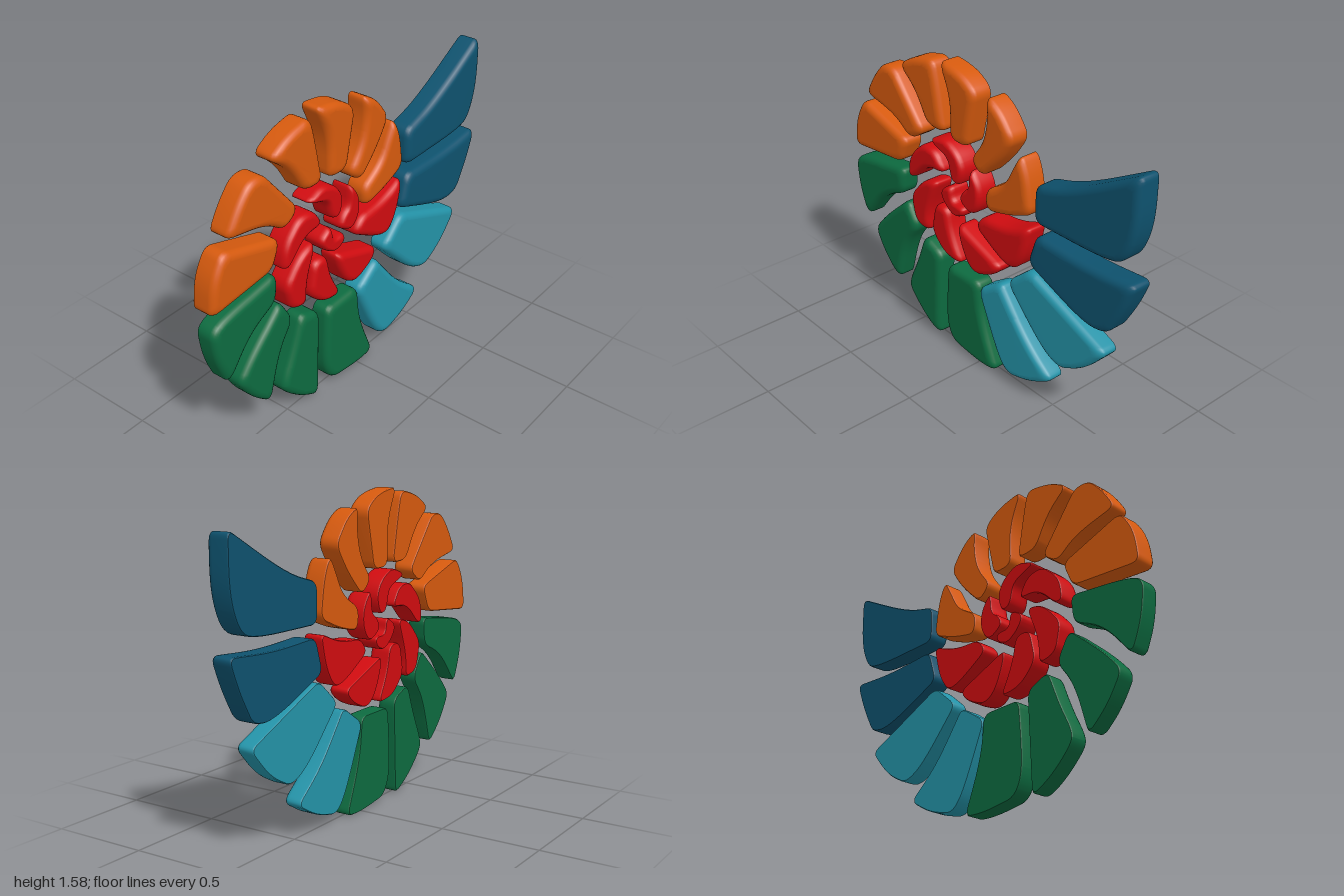
import * as THREE from 'three';

// Material colour, back depth and corner outlines [x, y] of each ring of segments
const SEGMENTS = {
  orangeSegment: { color: 0xd65a0e, back: -0.058, outlines: [
    [[-1.005, .88], [-.985, 1.05], [-.91, 1.17], [-.55, 1.06], [-.61, .92]],
    [[-.885, 1.215], [-.81, 1.34], [-.73, 1.425], [-.64, 1.425], [-.42, 1.155], [-.52, 1.085], [-.64, 1.17]],
    [[-.595, 1.465], [-.48, 1.535], [-.33, 1.565], [-.30, 1.45], [-.255, 1.21], [-.38, 1.215], [-.47, 1.37]],
    [[-.285, 1.585], [-.12, 1.56], [-.02, 1.49], [-.085, 1.195], [-.21, 1.2], [-.205, 1.41]],
    [[.05, 1.515], [.15, 1.46], [.235, 1.345], [.15, 1.215], [.02, 1.085], [-.06, 1.155], [.03, 1.27], [.06, 1.4]],
    [[.285, 1.305], [.335, 1.2], [.36, 1.02], [.21, .955], [.055, .92], [.045, 1.03], [.18, 1.11], [.24, 1.23]],
  ] },
  darkBlueSegment: { color: 0x0e526e, back: -0.058, outlines: [
    [[.385, 1.195], [.6, 1.255], [1, 1.48], [1, 1.22], [.945, 1.06], [.86, 1.005], [.385, 1]],
    [[.4, .945], [.71, .93], [1.01, .955], [.95, .8], [.86, .64], [.72, .62], [.345, .77]],
  ] },
  tealSegment: { color: 0x2493a8, back: -0.045, outlines: [
    [[.36, .735], [.865, .525], [.73, .37], [.58, .29], [.45, .345], [.205, .6]],
    [[.16, .565], [.2, .51], [.35, .32], [.53, .18], [.38, .09], [.22, .05], [.14, .13], [-.005, .455]],
  ] },
  greenSegment: { color: 0x0d6b40, back: -0.045, outlines: [
    [[-1.01, .8], [-.92, .845], [-.58, .89], [-.595, .745], [-.77, .665], [-.925, .475], [-.99, .63]],
    [[-.865, .43], [-.76, .55], [-.565, .72], [-.485, .585], [-.585, .45], [-.66, .19], [-.78, .295]],
    [[-.57, .24], [-.5, .38], [-.43, .565], [-.295, .51], [-.305, .25], [-.315, 0], [-.44, .065], [-.565, .18]],
    [[-.26, .22], [-.24, .485], [0, .485], [.02, .28], [.13, .01], [0, 0], [-.2, .025], [-.25, .1]],
  ] },
  redSegment: { color: 0xd00c10, back: -0.058, outlines: [
    [[.36, .955], [.32, .78], [.25, .68], [.16, .695], [-.03, .805], [.03, .88], [.2, .89]],
    [[-.165, .765], [.16, .645], [.1, .575], [-.02, .525], [-.09, .565], [-.14, .665]],
    [[-.33, .805], [-.235, .805], [-.21, .675], [-.13, .525], [-.27, .54], [-.365, .64]],
    [[-.31, .925], [-.42, .9], [-.53, .775], [-.495, .63], [-.385, .605], [-.385, .735]],
    [[-.545, .88], [-.53, 1], [-.42, 1.1], [-.32, 1.09], [-.255, .99], [-.39, .985], [-.5, .875]],
    [[-.375, 1.145], [-.25, 1.19], [-.15, 1.14], [-.11, 1.06], [-.14, .97], [-.2, .98], [-.225, 1.09]],
    [[-.06, 1.11], [.01, 1.02], [.01, .92], [-.05, .845], [-.145, .9], [-.12, .955], [-.07, .99]],
    [[-.2, .955], [-.19, .865], [-.1, .865], [-.11, .815], [-.18, .785], [-.255, .835], [-.29, .9]],
  ] },
};

const at = (pts, i) => pts[(i + pts.length) % pts.length];

// Move every corner inwards along its mitre
function inset(pts, d) {
  return pts.map((p, i) => {
    const a = p.clone().sub(at(pts, i - 1)).normalize();
    const b = at(pts, i + 1).clone().sub(p).normalize();
    const n = new THREE.Vector2(-a.y - b.y, a.x + b.x).normalize();
    const cos = Math.max(0.5, n.dot(new THREE.Vector2(-a.y, a.x)));
    return p.clone().addScaledVector(n, d / cos);
  });
}

// Round sharp corners tightly and shallow ones into long curves
function rounded(pts, steps = 6) {
  const loop = [];
  pts.forEach((p, i) => {
    const a = at(pts, i - 1).clone().sub(p), b = at(pts, i + 1).clone().sub(p);
    const la = a.length(), lb = b.length();
    const shallow = -a.dot(b) / (la * lb) > 0.72;
    const reach = (len) => (shallow ? 0.48 * len : Math.min(0.045, 0.45 * len));
    const start = p.clone().addScaledVector(a, reach(la) / la);
    const end = p.clone().addScaledVector(b, reach(lb) / lb);
    loop.push(...new THREE.QuadraticBezierCurve(start, p, end).getPoints(steps));
  });
  return loop;
}

// Pillow slab: flat back, straight sides, softly rounded front rim
function slabGeometry(outline, back) {
  const pts = outline.map(([x, y]) => new THREE.Vector2(x, y));
  if (THREE.ShapeUtils.isClockWise(pts)) pts.reverse();
  const front = 0.06, height = 0.035;
  const bevel = Math.min(0.035, 0.15 * Math.sqrt(THREE.ShapeUtils.area(pts)));
  const rings = [[0.004, back], [0, back + 0.006]];
  for (let k = 0; k <= 5; k++) {
    const t = (k / 5) * Math.PI / 2;
    rings.push([bevel * (1 - Math.cos(t)), front - height * (1 - Math.sin(t))]);
  }
  const loops = rings.map(([d]) => rounded(inset(pts, d)));
  const n = loops[0].length;
  const pos = [], index = [];
  loops.forEach((loop, r) => loop.forEach((p) => pos.push(p.x, p.y, rings[r][1])));
  for (let r = 0; r < rings.length - 1; r++) {
    for (let j = 0; j < n; j++) {
      const a = r * n + j, b = r * n + (j + 1) % n;
      index.push(a, b, b + n, a, b + n, a + n);
    }
  }
  // Front cap shares the rim; back cap has its own corners to keep a sharp edge
  const frontStart = (rings.length - 1) * n, backStart = rings.length * n;
  loops[0].forEach((p) => pos.push(p.x, p.y, back));
  for (const [a, b, c] of THREE.ShapeUtils.triangulateShape(loops[rings.length - 1], [])) {
    index.push(frontStart + a, frontStart + b, frontStart + c);
  }
  for (const [a, b, c] of THREE.ShapeUtils.triangulateShape(loops[0], [])) {
    index.push(backStart + a, backStart + c, backStart + b);
  }
  const geometry = new THREE.BufferGeometry();
  geometry.setAttribute('position', new THREE.Float32BufferAttribute(pos, 3));
  geometry.setIndex(index);
  geometry.computeVertexNormals();
  return geometry;
}

export function createModel() {
  const model = new THREE.Group();
  model.name = 'spiralShell';
  for (const [name, { color, back, outlines }] of Object.entries(SEGMENTS)) {
    const material = new THREE.MeshStandardMaterial({ color });
    material.name = name.replace('Segment', '');
    const group = new THREE.Group();
    group.name = name + 's';
    outlines.forEach((outline, i) => {
      const mesh = new THREE.Mesh(slabGeometry(outline, back), material);
      mesh.name = name + (i + 1);
      group.add(mesh);
    });
    model.add(group);
  }
  return model;
}
